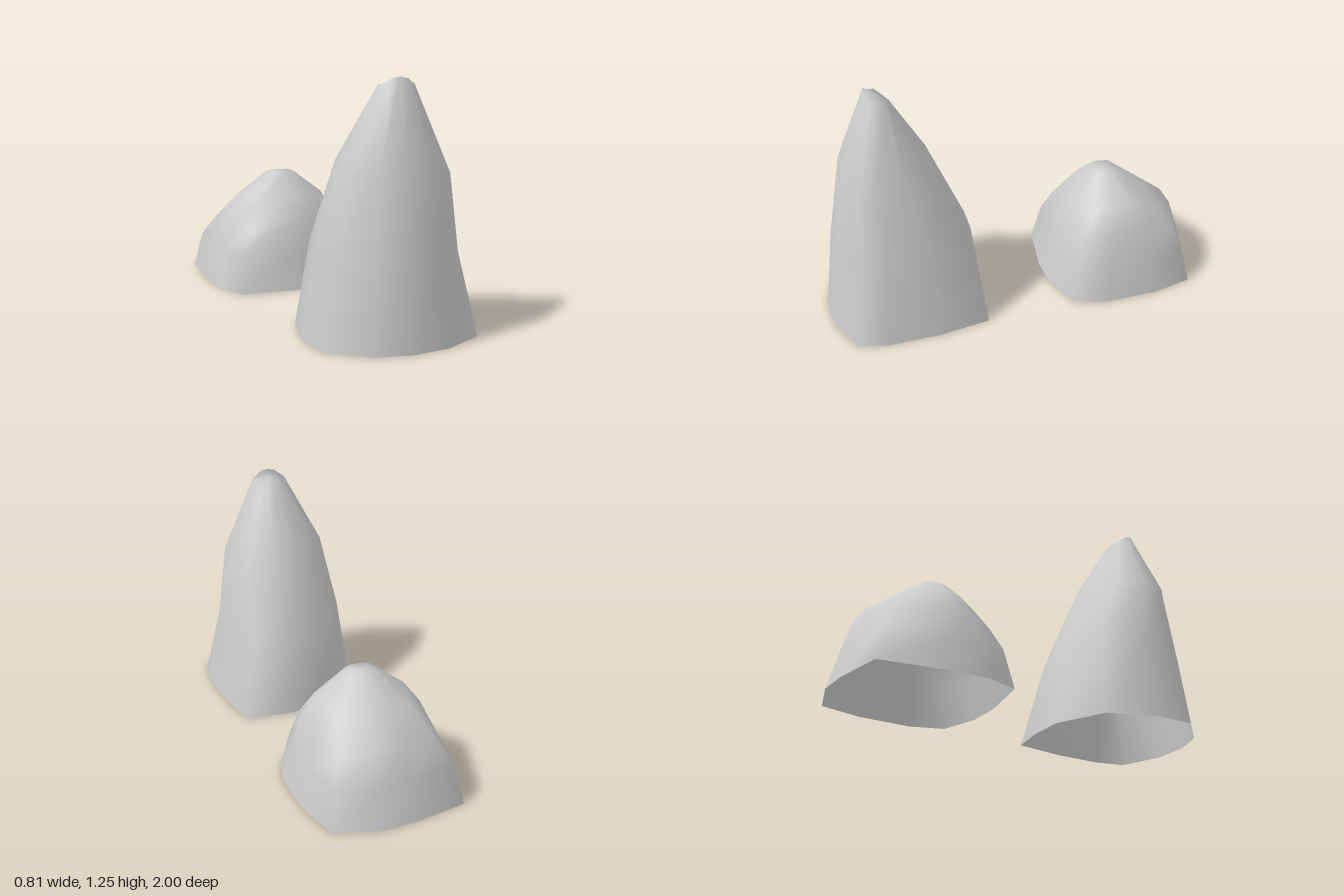
import * as THREE from 'three';

const material = new THREE.MeshStandardMaterial({ color: 0xcccccc, side: THREE.DoubleSide });
const RADIUS = 0.4;

// Lofts an irregular outline through scaled, shifted and tilted rings; open below, capped on top.
// round pulls the outline's corners in towards a circle, droop lowers them, bow raises front and back.
function makeRock(name, outline, rings) {
  const n = outline.length;
  const positions = [];
  const index = [];
  for (const { x, z, y, sx, sz, tilt = 0, bow = 0, round = 0, droop = 0 } of rings) {
    for (const [px, pz] of outline) {
      const r = Math.hypot(px, pz);
      const f = 1 + round * (RADIUS / r - 1);
      const dz = pz * f * sz;
      const drop = droop * Math.max(0, r - RADIUS);
      positions.push(x + px * f * sx, y + tilt * dz + bow * dz * dz - drop, z + dz);
    }
  }
  for (let r = 0; r < rings.length - 1; r++) {
    for (let i = 0; i < n; i++) {
      const a = r * n + i;
      const b = r * n + (i + 1) % n;
      index.push(a, a + n, b, b, a + n, b + n);
    }
  }
  // Blunt tip
  const top = rings[rings.length - 1];
  const start = (rings.length - 1) * n;
  const centre = positions.length / 3;
  positions.push(top.x, top.y, top.z);
  for (let i = 0; i < n; i++) index.push(centre, start + (i + 1) % n, start + i);

  const geometry = new THREE.BufferGeometry();
  geometry.setAttribute('position', new THREE.Float32BufferAttribute(positions, 3));
  geometry.setIndex(index);
  geometry.computeVertexNormals();
  const mesh = new THREE.Mesh(geometry, material);
  mesh.name = name;
  return mesh;
}

export function createModel() {
  const group = new THREE.Group();
  group.name = 'rocks';

  // Tall pointed rock, leaning to the front
  group.add(makeRock('tallRock', [
    [-0.405, -0.04], [-0.31, -0.29], [-0.05, -0.41], [0.14, -0.41], [0.36, -0.37], [0.4, -0.1],
    [0.4, 0.17], [0.36, 0.32], [0.14, 0.4], [-0.06, 0.4], [-0.23, 0.34], [-0.405, 0.17],
  ], [
    { x: 0, z: 0.6, y: 0, sx: 1, sz: 1 },
    { x: 0.005, z: 0.6, y: 0.44, sx: 0.85, sz: 0.89, round: 0.6, droop: 0.3 },
    { x: 0.01, z: 0.665, y: 0.84, sx: 0.67, sz: 0.55, bow: 1, round: 0.25, droop: 0.9 },
    { x: 0.025, z: 0.683, y: 1.215, sx: 0.22, sz: 0.155, tilt: 0.56, droop: 0.5 },
  ]));

  // Low rounded rock behind it
  group.add(makeRock('lowRock', [
    [-0.4, 0.03], [-0.34, -0.36], [-0.05, -0.4], [0.12, -0.4], [0.35, -0.32], [0.4, -0.1],
    [0.4, 0.18], [0.34, 0.35], [0.14, 0.41], [-0.05, 0.41], [-0.35, 0.35], [-0.4, 0.18],
  ], [
    { x: 0, z: -0.6, y: 0, sx: 1, sz: 1 },
    { x: 0, z: -0.597, y: 0.2, sx: 0.9, sz: 0.87 },
    { x: 0.015, z: -0.59, y: 0.39, sx: 0.75, sz: 0.75, tilt: 0.03, droop: 0.8 },
    { x: 0.025, z: -0.555, y: 0.5, sx: 0.57, sz: 0.45, droop: 0.5 },
    { x: 0.02, z: -0.52, y: 0.608, sx: 0.17, sz: 0.15 },
  ]));

  return group;
}
